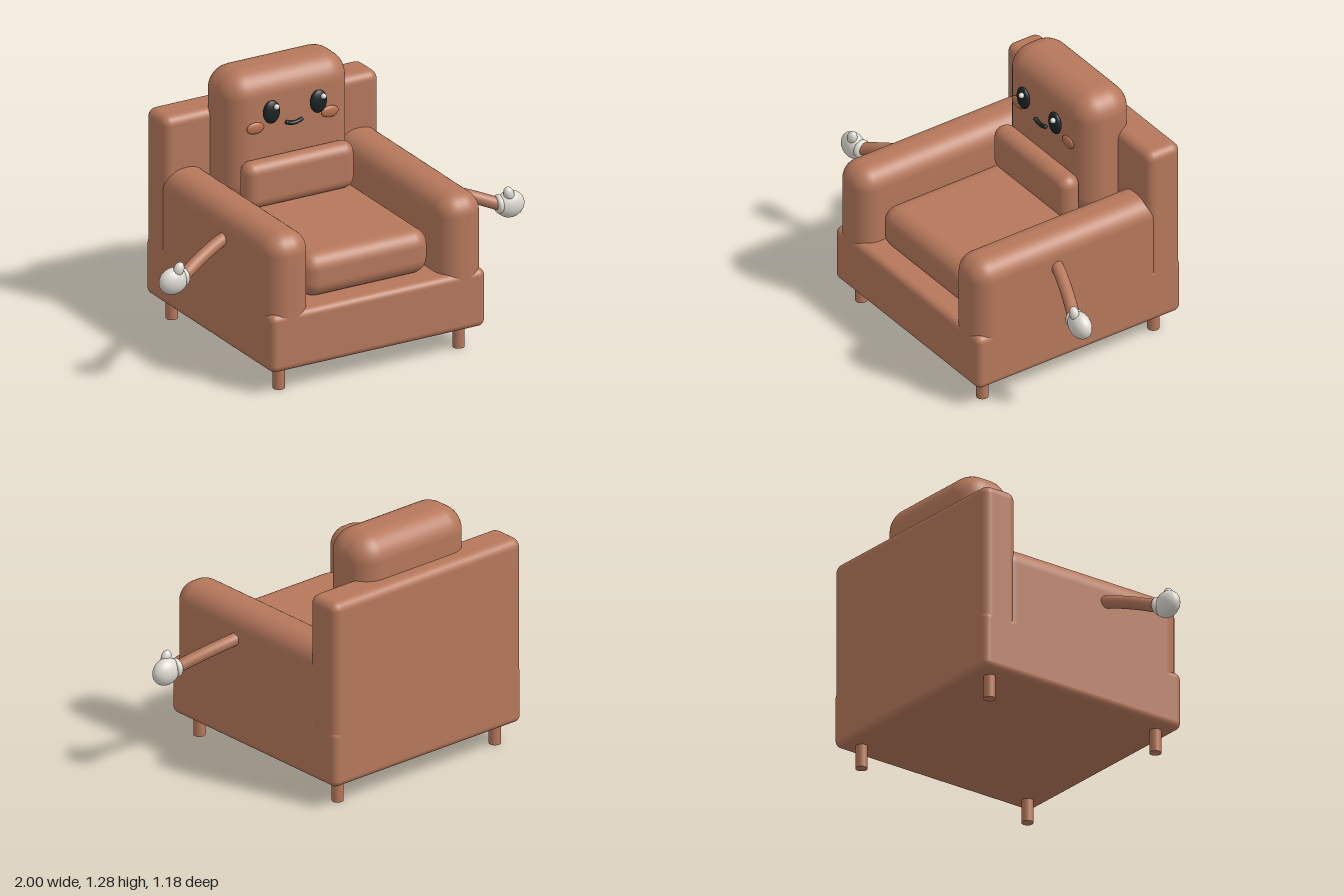
import * as THREE from 'three';
import { RoundedBoxGeometry } from 'three/addons/geometries/RoundedBoxGeometry.js';

const material = (name, color) => {
  const m = new THREE.MeshStandardMaterial({ color });
  m.name = name;
  return m;
};

export function createModel() {
  const leather = material('brown leather', 0xb5775b);
  const blush = material('blush', 0xb8704f);
  const black = material('face black', 0x1a2426);
  const glove = material('glove white', 0xdedad2);

  const model = new THREE.Group();
  model.name = 'armchair';

  const add = (parent, name, geometry, mat) => {
    const mesh = new THREE.Mesh(geometry, mat);
    mesh.name = name;
    parent.add(mesh);
    return mesh;
  };

  // Rounded block given by its extents on each axis
  const block = (name, [x0, x1], [y0, y1], [z0, z1], radius) => {
    const g = new RoundedBoxGeometry(x1 - x0, y1 - y0, z1 - z0, 6, radius);
    g.translate((x0 + x1) / 2, (y0 + y1) / 2, (z0 + z1) / 2);
    return add(model, name, g, leather);
  };

  // Ellipsoid given by centre and radii
  const ellipsoid = (parent, name, centre, radii, mat) => {
    const mesh = add(parent, name, new THREE.SphereGeometry(1, 32, 20), mat);
    mesh.position.set(...centre);
    mesh.scale.set(...radii);
    return mesh;
  };

  // Upholstered frame
  block('base', [-0.59, 0.59], [0.115, 0.41], [-0.59, 0.59], 0.035);
  block('backrest', [-0.59, 0.59], [0.115, 1.07], [-0.59, -0.4], 0.045);
  block('leftArmrest', [0.36, 0.59], [0.2, 0.8], [-0.5, 0.59], 0.1);
  block('rightArmrest', [-0.59, -0.36], [0.2, 0.8], [-0.5, 0.59], 0.1);

  // Cushions
  block('seatCushion', [-0.348, 0.343], [0.405, 0.63], [-0.42, 0.505], 0.08);
  block('backCushion', [-0.345, 0.337], [0.6, 1.28], [-0.508, -0.21], 0.122);
  block('lumbarPillow', [-0.305, 0.297], [0.63, 0.867], [-0.225, -0.112], 0.056);

  // Feet
  for (const x of [-0.498, 0.49]) {
    for (const z of [-0.495, 0.497]) {
      const leg = add(model, 'leg', new THREE.CylinderGeometry(0.029, 0.029, 0.14, 24), leather);
      leg.position.set(x, 0.07, z);
    }
  }

  // Face
  const face = new THREE.Group();
  face.name = 'face';
  face.position.x = -0.005;
  model.add(face);
  for (const side of [-1, 1]) {
    ellipsoid(face, 'eye', [side * 0.129, 1.09, -0.184], [0.045, 0.059, 0.022], black);
    ellipsoid(face, 'eyeGlint', [side * 0.129 + 0.015, 1.12, -0.162], [0.014, 0.014, 0.014], glove);
    ellipsoid(face, 'cheek', [side * 0.205, 1.014, -0.206], [0.047, 0.029, 0.012], blush);
  }
  const smile = new THREE.QuadraticBezierCurve3(
    new THREE.Vector3(-0.04, 1.015, -0.192),
    new THREE.Vector3(0, 0.995, -0.192),
    new THREE.Vector3(0.04, 1.015, -0.192)
  );
  add(face, 'mouth', new THREE.TubeGeometry(smile, 20, 0.01, 10), black);
  for (const t of [0, 1]) {
    const p = smile.getPoint(t);
    ellipsoid(face, 'mouthCorner', p.toArray(), [0.01, 0.01, 0.01], black);
  }

  // Thin arms with gloved hands
  for (const side of [-1, 1]) {
    const limb = new THREE.Group();
    limb.name = side > 0 ? 'leftArm' : 'rightArm';
    model.add(limb);
    const path = new THREE.CatmullRomCurve3([
      [0.52, 0.662, 0.12], [0.6, 0.647, 0.135], [0.73, 0.607, 0.178], [0.87, 0.553, 0.232],
    ].map(([x, y, z]) => new THREE.Vector3(side * x, y, z)));
    add(limb, 'sleeve', new THREE.TubeGeometry(path, 24, 0.031, 20), leather);

    // Cuff ring around the wrist
    const cuff = add(limb, 'cuff', new THREE.TorusGeometry(0.031, 0.016, 12, 28), glove);
    cuff.position.set(side * 0.869, 0.553, 0.232);
    cuff.rotation.set(0, side * 1.45, 0);

    const palm = ellipsoid(limb, 'hand', [side * 0.925, 0.546, 0.24], [0.075, 0.067, 0.049], glove);
    palm.rotation.z = side * -0.1;
    const thumb = ellipsoid(limb, 'thumb', [side * 0.907, 0.609, 0.26], [0.026, 0.036, 0.023], glove);
    thumb.rotation.z = side * 0.35;
  }

  return model;
}
